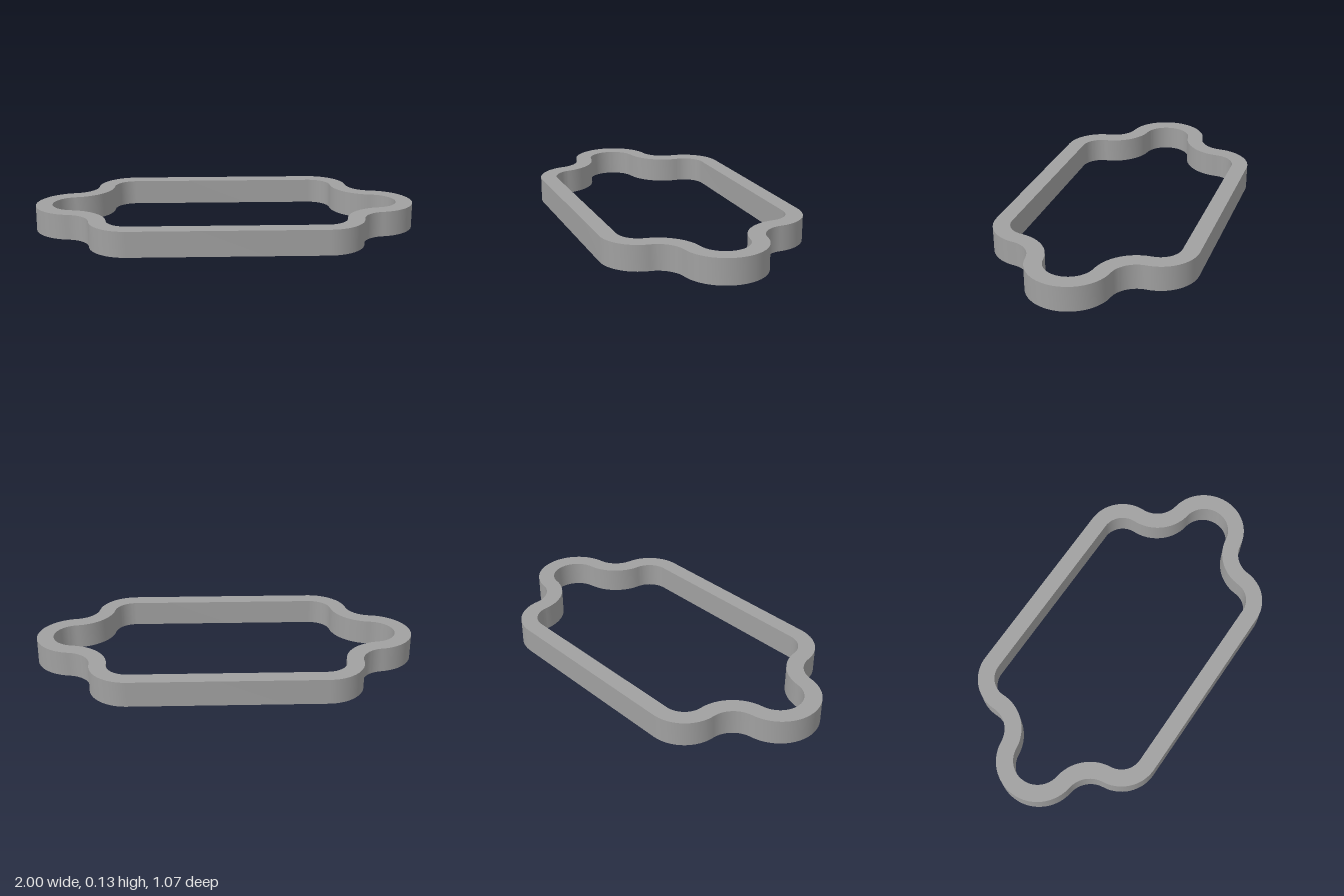
import * as THREE from 'three';
import { toCreasedNormals } from 'three/addons/utils/BufferGeometryUtils.js';

const HEIGHT = 0.132, HALF_WALL = 0.0435;
const V = (x, z) => new THREE.Vector2(x, z);

// Centreline arcs of the +x half: rounded corners and an end lobe, joined by concave arcs
const corner = { c: V(0.495, -0.333), r: 0.157 };
const frontCorner = { c: V(0.495, 0.333), r: 0.157 };
const lobe = { c: V(0.785, 0.02), r: 0.1715 };
const CONCAVE = 0.18;

// Centre of the concave arc tangent to a corner and the lobe
function tangentCentre(a, b, side) {
  const d1 = a.r + CONCAVE, d2 = b.r + CONCAVE;
  const u = b.c.clone().sub(a.c), D = u.length();
  u.divideScalar(D);
  const along = (d1 * d1 - d2 * d2 + D * D) / (2 * D);
  const h = Math.sqrt(d1 * d1 - along * along) * side;
  return a.c.clone().addScaledVector(u, along).add(V(u.y * h, -u.x * h));
}

// Points on an arc, turning the short way from one direction to the other
function arc(c, r, from, to, n = 20) {
  const a0 = from.angle();
  let sweep = to.angle() - a0;
  sweep = Math.atan2(Math.sin(sweep), Math.cos(sweep));
  return Array.from({ length: n + 1 }, (_, i) => {
    const a = a0 + (sweep * i) / n;
    return V(c.x + r * Math.cos(a), c.y + r * Math.sin(a));
  });
}

// Closed outline, offset outwards from the centreline
function outline(offset) {
  const backDip = tangentCentre(corner, lobe, 1);
  const frontDip = tangentCentre(frontCorner, lobe, -1);
  const dir = (from, to) => to.clone().sub(from);
  const parts = [
    arc(corner.c, corner.r + offset, V(0, -1), dir(corner.c, backDip)),
    arc(backDip, CONCAVE - offset, dir(backDip, corner.c), dir(backDip, lobe.c)),
    arc(lobe.c, lobe.r + offset, dir(backDip, lobe.c).negate(), dir(lobe.c, frontDip), 36),
    arc(frontDip, CONCAVE - offset, dir(frontDip, lobe.c), dir(frontDip, frontCorner.c)),
    arc(frontCorner.c, frontCorner.r + offset, dir(frontCorner.c, frontDip), V(0, 1)),
  ];
  // Drop the shared point where two arcs meet
  const half = parts.flatMap((p, i) => (i ? p.slice(1) : p));
  return [...half, ...half.map((p) => V(-p.x, p.y)).reverse()];
}

export function createModel() {
  const grey = new THREE.MeshStandardMaterial({ color: 0xa0a0a0 });
  grey.name = 'grey';

  // Band of constant wall thickness, laid flat on the ground
  const shape = new THREE.Shape(outline(HALF_WALL));
  shape.holes.push(new THREE.Path(outline(-HALF_WALL)));
  const geometry = new THREE.ExtrudeGeometry(shape, { depth: HEIGHT, bevelEnabled: false });
  geometry.rotateX(Math.PI / 2);
  geometry.translate(0, HEIGHT, 0);

  const band = new THREE.Mesh(toCreasedNormals(geometry, 0.6), grey);
  band.name = 'outlineBand';

  const model = new THREE.Group();
  model.name = 'plaqueOutlineRing';
  model.add(band);
  return model;
}
